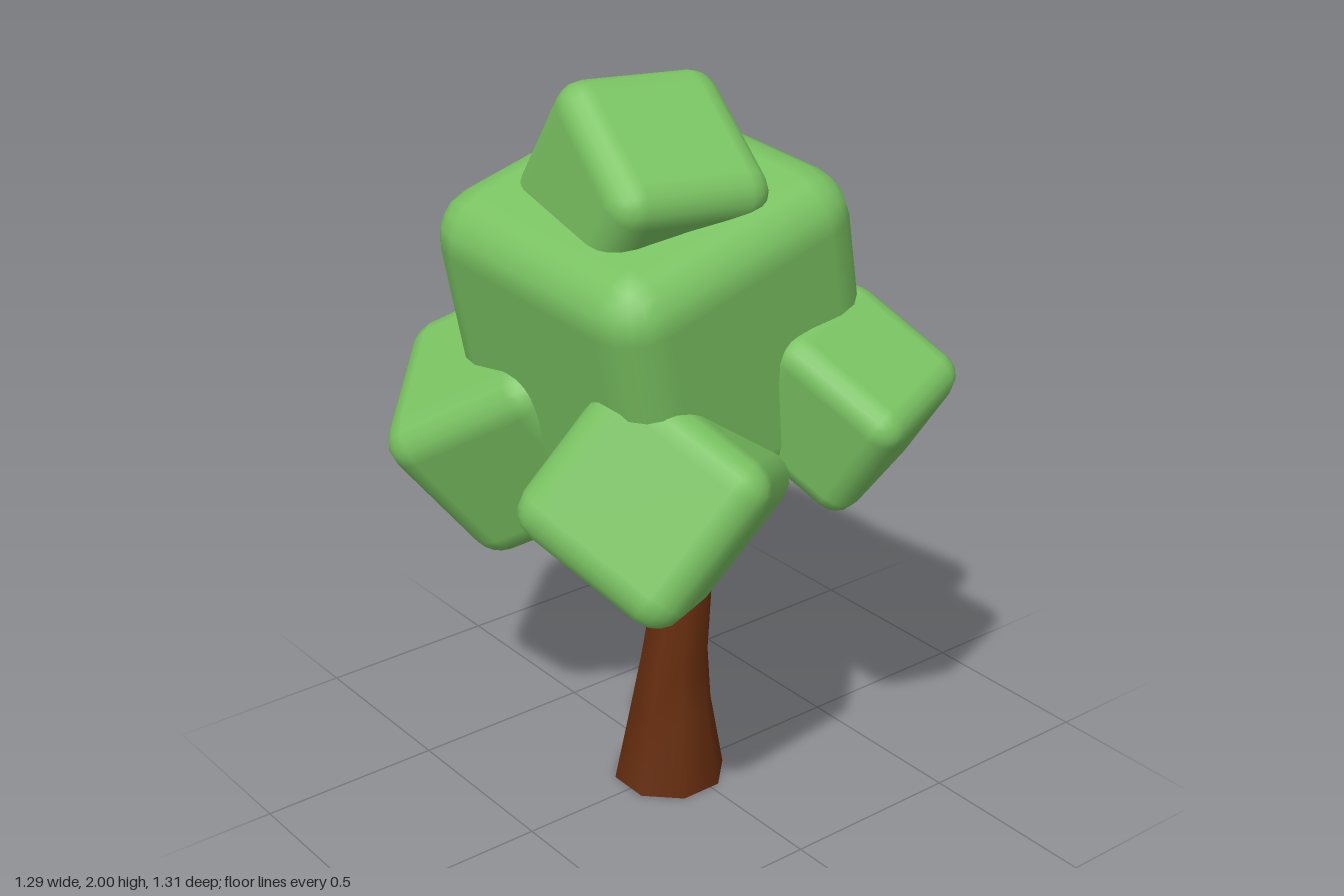
import * as THREE from 'three';
import { RoundedBoxGeometry } from 'three/addons/geometries/RoundedBoxGeometry.js';

const leafGreen = new THREE.MeshStandardMaterial({ color: 0x7ac362 });
leafGreen.name = 'leafGreen';
const barkBrown = new THREE.MeshStandardMaterial({ color: 0x632b0d, side: THREE.DoubleSide });
barkBrown.name = 'barkBrown';

// Rounded foliage block: centre, size, and the directions of its x and z edges
function leafBlock({ name, at, size, x, z }) {
  const [w, h, d] = size;
  const geometry = new RoundedBoxGeometry(w, h, d, 2, 0.175 * h);
  const ax = new THREE.Vector3(...x).normalize();
  const ay = new THREE.Vector3(...z).cross(ax).normalize();
  const az = new THREE.Vector3().crossVectors(ax, ay);
  const mesh = new THREE.Mesh(geometry, leafGreen);
  mesh.name = name;
  mesh.quaternion.setFromRotationMatrix(new THREE.Matrix4().makeBasis(ax, ay, az));
  mesh.position.set(...at);
  return mesh;
}

// Open loft through level rings [x, y, z, radius]
function loft(rings, sides) {
  const positions = [], index = [];
  rings.forEach(([cx, cy, cz, r]) => {
    for (let i = 0; i < sides; i++) {
      const a = ((i + 0.5) / sides) * Math.PI * 2;
      const k = r / Math.cos(Math.PI / sides);
      positions.push(cx + k * Math.cos(a), cy, cz + k * Math.sin(a));
    }
  });
  for (let j = 0; j < rings.length - 1; j++) {
    for (let i = 0; i < sides; i++) {
      const a = j * sides + i, b = j * sides + ((i + 1) % sides);
      index.push(a, a + sides, b, b, a + sides, b + sides);
    }
  }
  const geometry = new THREE.BufferGeometry();
  geometry.setAttribute('position', new THREE.Float32BufferAttribute(positions, 3));
  geometry.setIndex(index);
  geometry.computeVertexNormals();
  return geometry;
}

const cube = (s) => [s, s, s];

const BLOCKS = [
  { name: 'mainFoliage', at: [-0.084, 1.375, 0.005], size: [0.765, 0.745, 0.8], x: [0.965, 0.245, -0.035], z: [0.065, -0.09, 1] },
  { name: 'topFoliage', at: [-0.178, 1.72, 0.075], size: cube(0.43), x: [0.985, -0.06, 0.12], z: [-0.134, -0.565, 0.81] },
  { name: 'frontLeftFoliage', at: [0.205, 1.187, 0.39], size: cube(0.378), x: [0.94, 0.18, -0.31], z: [0.34, -0.54, 0.77] },
  { name: 'leftFoliage', at: [0.34, 1.09, 0.08], size: cube(0.453), x: [0.85, -0.47, -0.25], z: [0.21, -0.14, 0.96] },
  { name: 'backLeftFoliage', at: [0.125, 1.137, -0.296], size: [0.42, 0.51, 0.51], x: [0.89, 0.01, -0.46], z: [0.3, -0.77, 0.56] },
  { name: 'backRightFoliage', at: [-0.281, 1.034, -0.31], size: cube(0.5), x: [-0.66, -0.356, 0.66], z: [0.591, -0.79, 0.163] },
  { name: 'frontRightFoliage', at: [-0.287, 1.026, 0.266], size: cube(0.482), x: [0.71, -0.35, -0.615], z: [0.4, -0.52, 0.755] },
];

export function createModel() {
  const tree = new THREE.Group();
  tree.name = 'tree';

  // Bent trunk, flaring at the foot
  const trunk = new THREE.Mesh(loft([
    [-0.032, 0, -0.012, 0.141],
    [-0.022, 0.21, -0.018, 0.104],
    [-0.012, 0.36, -0.014, 0.086],
    [0.033, 0.67, -0.014, 0.069],
    [0.016, 0.81, -0.016, 0.067],
    [0.045, 0.95, -0.035, 0.052],
    [0.06, 1.15, -0.045, 0.045],
  ], 8), barkBrown);
  trunk.name = 'trunk';
  tree.add(trunk);

  // Side branch
  const path = new THREE.CatmullRomCurve3([
    new THREE.Vector3(0.03, 0.79, 0),
    new THREE.Vector3(0.095, 0.87, 0.06),
    new THREE.Vector3(0.18, 0.93, 0.14),
    new THREE.Vector3(0.24, 1.03, 0.22),
  ]);
  const branch = new THREE.Mesh(new THREE.TubeGeometry(path, 8, 0.029, 8), barkBrown);
  branch.name = 'branch';
  tree.add(branch);

  // Foliage
  const foliage = new THREE.Group();
  foliage.name = 'foliage';
  BLOCKS.forEach((b) => foliage.add(leafBlock(b)));
  tree.add(foliage);
  return tree;
}
